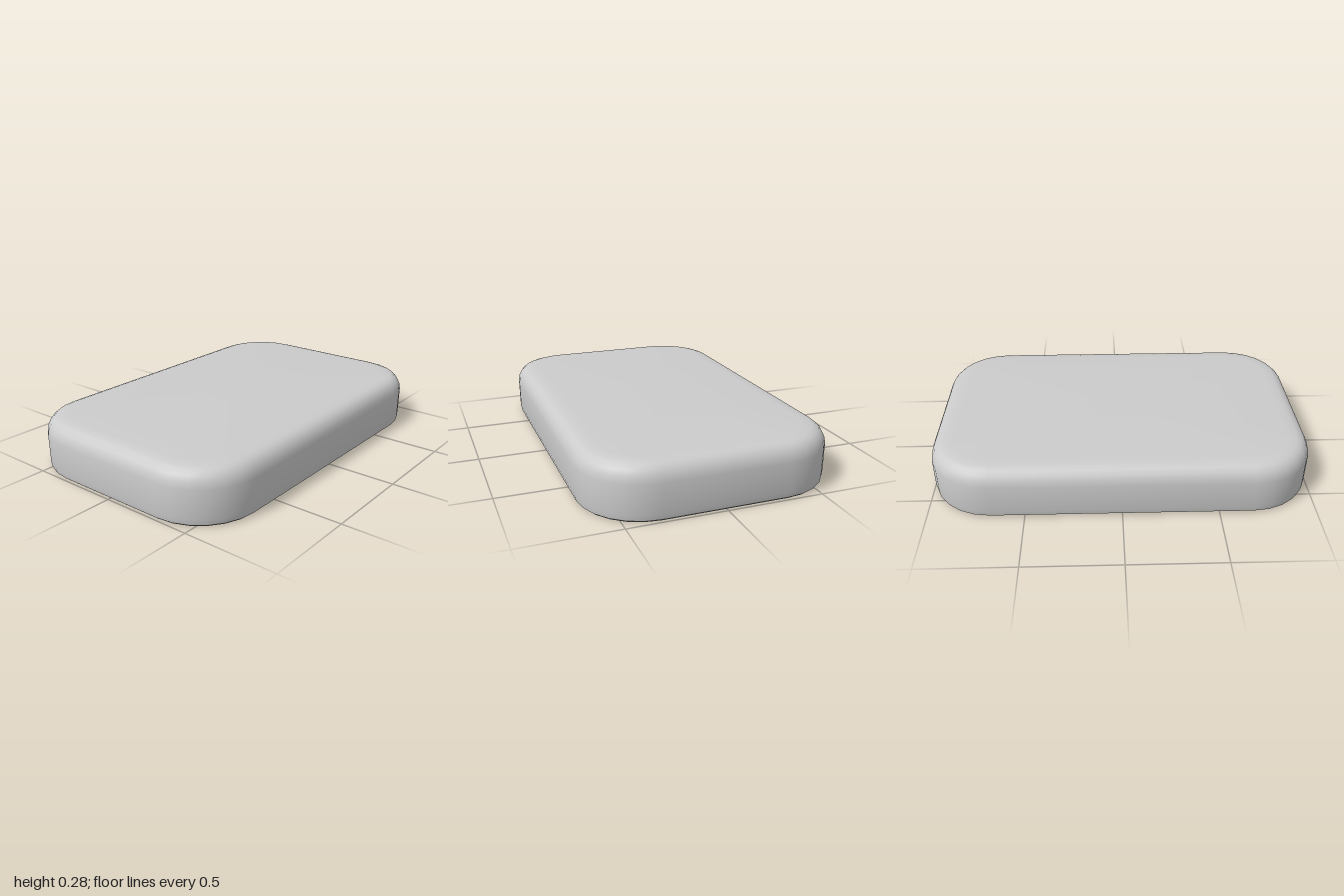
import * as THREE from 'three';
import { toCreasedNormals } from 'three/addons/utils/BufferGeometryUtils.js';

const HALF_X = 1, HALF_Z = 0.646, CORNER = 0.325, STEPS = 6;

// Rounded-rectangle ring, shrunk by inset, at height y
function ring(inset, y) {
  const r = CORNER - inset;
  const cx = HALF_X - CORNER, cz = HALF_Z - CORNER;
  const points = [];
  [[1, 1], [-1, 1], [-1, -1], [1, -1]].forEach(([sx, sz], q) => {
    for (let i = 0; i <= STEPS; i++) {
      const a = (q + i / STEPS) * Math.PI / 2;
      points.push([sx * cx + r * Math.cos(a), y, sz * cz + r * Math.sin(a)]);
    }
  });
  return points;
}

// Skin between successive [inset, y] rings, with optional flat fans at the ends
function loft(profile, capAtStart, capAtEnd) {
  const rings = profile.map(([inset, y]) => ring(inset, y));
  const n = rings[0].length, pos = [];
  const tri = (a, b, c) => pos.push(...a, ...b, ...c);
  for (let j = 0; j < rings.length - 1; j++) {
    for (let i = 0; i < n; i++) {
      const k = (i + 1) % n, lo = rings[j], hi = rings[j + 1];
      tri(lo[i], hi[i], lo[k]);
      tri(lo[k], hi[i], hi[k]);
    }
  }
  const first = rings[0], last = rings[rings.length - 1];
  for (let i = 0; i < n; i++) {
    const k = (i + 1) % n;
    if (capAtStart) tri([0, first[0][1], 0], first[i], first[k]);
    if (capAtEnd) tri(last[i], [0, last[0][1], 0], last[k]);
  }
  const geometry = new THREE.BufferGeometry();
  geometry.setAttribute('position', new THREE.Float32BufferAttribute(pos, 3));
  return toCreasedNormals(geometry, 0.5);
}

export function createModel() {
  const group = new THREE.Group();
  group.name = 'lid';
  const material = new THREE.MeshStandardMaterial({ color: 0xcccccc, side: THREE.DoubleSide });
  const add = (name, geometry) => {
    const mesh = new THREE.Mesh(geometry, material);
    mesh.name = name;
    group.add(mesh);
  };

  // Outer wall, softly rounded into the flat top
  add('outerShell', loft([
    [0.02, 0], [0.008, 0.01], [0.002, 0.04], [0, 0.19], [0.006, 0.222],
    [0.02, 0.25], [0.042, 0.27], [0.07, 0.279], [0.12, 0.282],
  ], false, true));

  // Flat rim underneath
  add('rim', loft([[0.06, 0], [0.02, 0]], false, false));

  // Hollow underside: ceiling, cove and inner wall down to the rim
  add('innerCavity', loft([
    [0.125, 0.196], [0.095, 0.186], [0.077, 0.16], [0.066, 0.03], [0.06, 0],
  ], true, false));

  return group;
}
